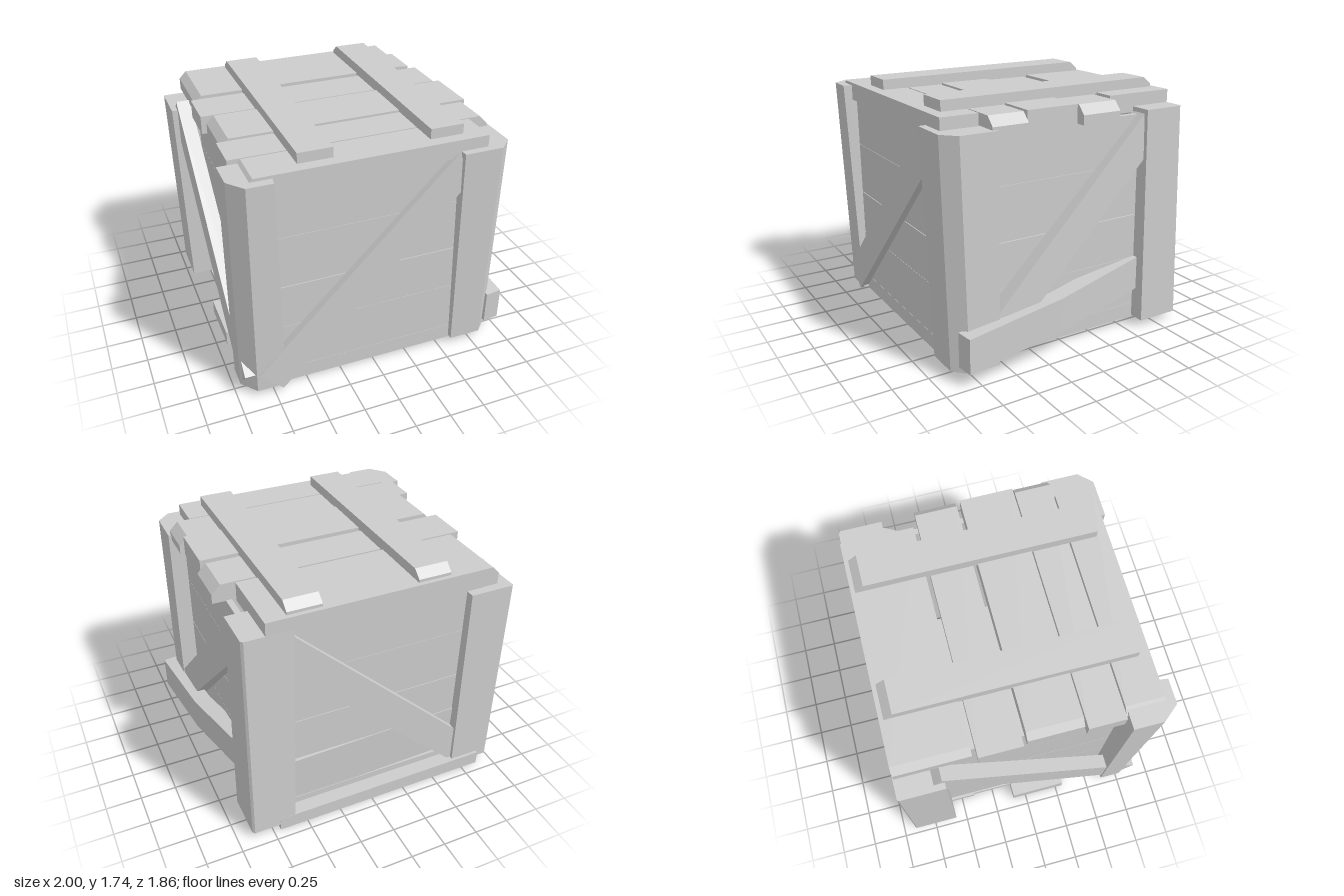
import * as THREE from 'three';
import { ConvexGeometry } from 'three/addons/geometries/ConvexGeometry.js';

export function createModel() {
  const crate = new THREE.Group();
  crate.name = 'woodenCrate';
  const wood = new THREE.MeshStandardMaterial({ color: 0xcccccc });
  wood.name = 'pale grey wood';

  const add = (name, geometry) => {
    const mesh = new THREE.Mesh(geometry, wood);
    mesh.name = name;
    crate.add(mesh);
    return mesh;
  };
  const v = (x, y, z) => new THREE.Vector3(x, y, z);

  // Box given by its limits on each axis
  const slab = (name, [x0, x1], [y0, y1], [z0, z1]) => {
    const mesh = add(name, new THREE.BoxGeometry(x1 - x0, y1 - y0, z1 - z0));
    mesh.position.set((x0 + x1) / 2, (y0 + y1) / 2, (z0 + z1) / 2);
    return mesh;
  };

  // Straight beam from a to b; its thickness runs along the outward direction
  const beam = (name, a, b, width, thickness, outward) => {
    const along = b.clone().sub(a);
    const mesh = add(name, new THREE.BoxGeometry(along.length(), width, thickness));
    const x = along.normalize();
    const y = outward.clone().cross(x).normalize();
    const z = x.clone().cross(y);
    mesh.quaternion.setFromRotationMatrix(new THREE.Matrix4().makeBasis(x, y, z));
    mesh.position.copy(a).add(b).multiplyScalar(0.5);
  };

  // Corner post lofted between two footprints: outer corner chamfered, inner side skewed
  const footprint = (sx, sz, [xi, xo, zi, zo], [cx, cz], skew, y) => [
    [xi - skew, zi], [xo, zi], [xo, zo - cz], [xo - cx, zo], [xi, zo],
  ].map(([x, z]) => v(sx * x, y, sz * z));
  const post = (name, sx, sz, bottom, top, chamfer, skew, y0, y1) =>
    add(name, new ConvexGeometry([
      ...footprint(sx, sz, bottom, chamfer, skew, y0),
      ...footprint(sx, sz, top, chamfer, skew, y1),
    ]));
  post('frontLeftPost', 1, 1, [0.59, 0.91, 0.57, 0.88], [0.54, 0.9, 0.57, 0.92], [0.09, 0.09], 0, 0.05, 1.58);
  post('frontRightPost', -1, 1, [0.67, 0.96, 0.62, 0.88], [0.71, 0.97, 0.62, 0.93], [0.09, 0.11], 0.04, 0.05, 1.64);
  post('backLeftPost', 1, -1, [0.59, 0.9, 0.61, 0.93], [0.55, 0.88, 0.58, 0.88], [0.015, 0.015], 0, 0.05, 1.58);
  post('backRightPost', -1, -1, [0.67, 0.97, 0.58, 0.91], [0.68, 1.0, 0.58, 0.89], [0.01, 0.01], 0, 0.05, 1.5);

  // Wall planks with narrow gaps; one back plank hangs askew
  const rows = [0.04, 0.15, 0.51, 0.83, 1.2, 1.54];
  for (let i = 0; i < rows.length - 1; i++) {
    const y = [rows[i], rows[i + 1] - (i === 2 ? 0.005 : 0.002)];
    slab('frontPlank', [-0.8, 0.8], y, [0.8, 0.84]);
    const back = slab('backPlank', [-0.8, 0.8], y, [-0.83, -0.79]);
    if (i === 1) back.rotation.set(-0.03, 0, -0.03);
    slab('leftPlank', [0.75, 0.79], y, [-0.79, 0.8]);
    slab('rightPlank', [-0.81, -0.77], y, [-0.79, 0.8]);
  }

  // Floor planks and the sill along the back
  [
    [-0.83, 0.7, -0.85, -0.4, 0.055], [-0.82, 0.72, -0.4, -0.1, 0.055], [-0.93, 0.71, -0.1, 0.3, 0.11],
    [-0.83, 0.72, 0.3, 0.56, 0.055], [-0.88, 0.7, 0.57, 0.81, 0.055],
  ].forEach(([x0, x1, z0, z1, top]) => slab('floorPlank', [x0, x1], [0.005, top], [z0, z1]));
  slab('backSill', [-0.88, 0.7], [0, 0.1], [-0.93, -0.79]);

  // Diagonal braces, one on each wall
  beam('frontBrace', v(-0.775, 0.115, 0.858), v(0.59, 1.49, 0.845), 0.225, 0.08, v(0, 0, 1));
  beam('backBrace', v(0.62, 1.44, -0.84), v(-0.74, 0.16, -0.85), 0.22, 0.07, v(0, 0, -1));
  beam('leftBrace', v(0.85, 0.14, 0.68), v(0.79, 1.47, -0.66), 0.225, 0.12, v(1, 0, 0));
  beam('rightBrace', v(-0.9, 0.11, 0.8), v(-0.91, 1.48, -0.67), 0.22, 0.1, v(-1, 0, 0));

  // Bent loose board low on the left wall: [outer x, centre y, z]
  const bends = [[1.0, 0.22, 0.835], [0.95, 0.3, 0.12], [0.82, 0.4, -0.64]];
  const section = ([x, y, z]) => [[0, -1], [0, 1], [-0.12, -1], [-0.12, 1]]
    .map(([dx, s]) => v(x + dx, y + s * 0.12, z + (dx ? 0.015 : 0)));
  for (let i = 0; i < 2; i++) {
    add('looseBoard', new ConvexGeometry([...section(bends[i]), ...section(bends[i + 1])]));
  }

  // Lid boards with bevelled ends: x0, x1, z0, z1, y0, y1, left bevel, right bevel
  [
    [-0.87, 0.73, -0.88, -0.38, 1.54, 1.67, 0.05, 0],
    [-0.9, 0.88, -0.35, -0.06, 1.535, 1.66, 0, 0.06],
    [-0.87, 0.85, -0.03, 0.34, 1.535, 1.67, 0.05, 0],
    [-0.9, 0.88, 0.35, 0.6, 1.54, 1.66, 0, 0.06],
    [-0.87, 0.73, 0.61, 0.87, 1.535, 1.66, 0.05, 0],
  ].forEach(([x0, x1, z0, z1, y0, y1, l, r]) => {
    const points = [];
    for (const z of [z0, z1]) {
      points.push(v(x0, y0, z), v(x0, y1 - l, z), v(x0 + l, y1, z));
      points.push(v(x1, y0, z), v(x1, y1 - r, z), v(x1 - r, y1, z));
    }
    add('lidBoard', new ConvexGeometry(points));
  });

  // Lid battens, sloped at the back end
  for (const x of [-0.41, 0.47]) {
    const points = [];
    for (const px of [x - 0.115, x + 0.115]) {
      points.push(v(px, 1.655, 0.79), v(px, 1.73, 0.79));
      points.push(v(px, 1.655, -0.85), v(px, 1.69, -0.85), v(px, 1.74, -0.79));
    }
    add('lidBatten', new ConvexGeometry(points));
  }
  return crate;
}
